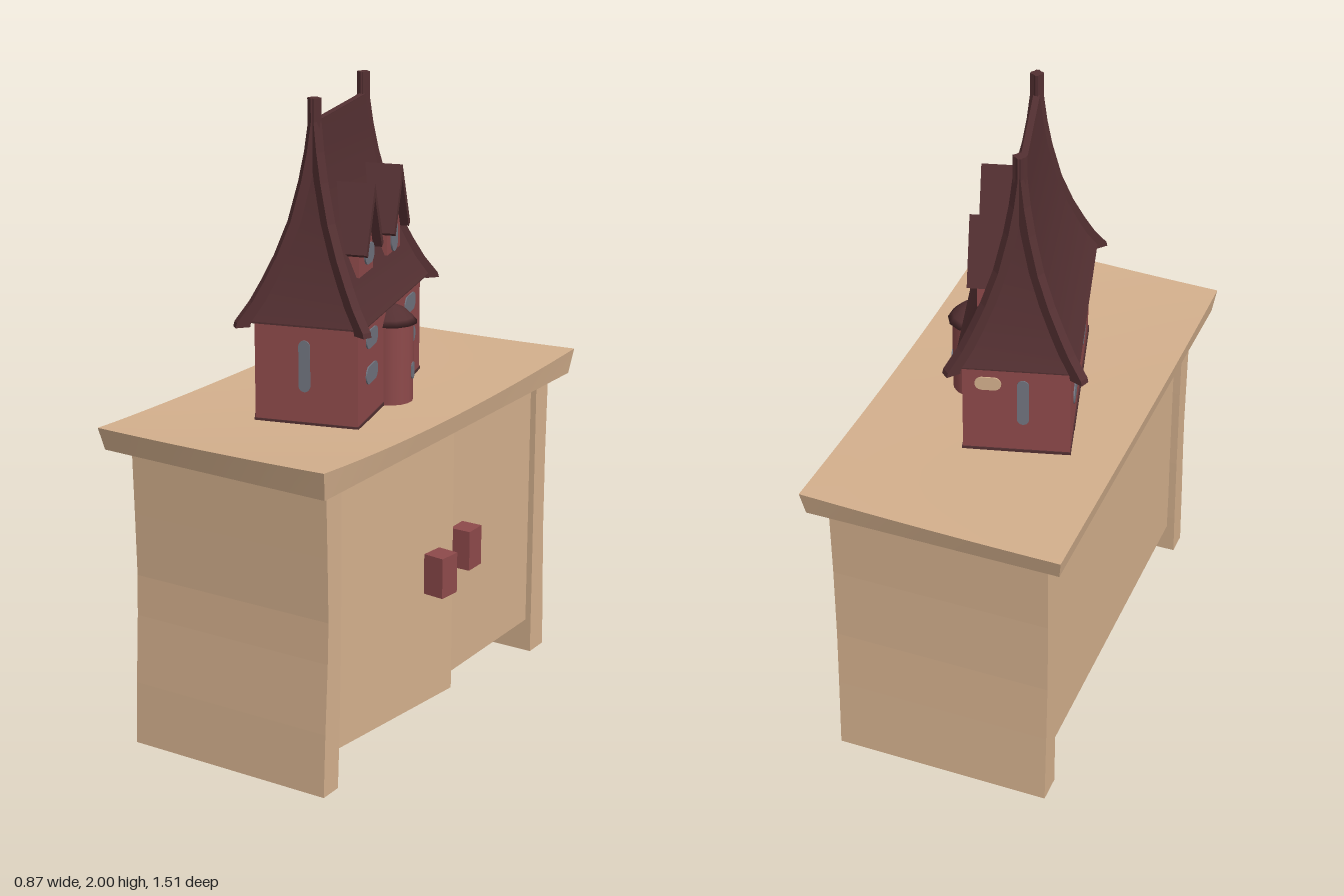
import * as THREE from 'three';

const mat = (name, color, side = THREE.FrontSide) => {
  const m = new THREE.MeshStandardMaterial({ color, side });
  m.name = name;
  return m;
};

export function createModel() {
  const wood = mat('tan wood', 0xd4b08d);
  const shade = mat('dark brown wood', 0x9a7058);
  const red = mat('brick red', 0x8e4a4b);
  const dark = mat('dark roof', 0x543032, THREE.DoubleSide);
  const glass = mat('grey glass', 0x71747f);
  const darkBelow = [wood, wood, wood, shade, wood, wood];

  const model = new THREE.Group();
  model.name = 'cabinetWithHouse';
  const add = (parent, name, geo, material, x = 0, y = 0, z = 0) => {
    const mesh = new THREE.Mesh(geo, material);
    mesh.name = name;
    mesh.position.set(x, y, z);
    parent.add(mesh);
    return mesh;
  };
  const box = (w, h, d) => new THREE.BoxGeometry(w, h, d);
  // Outline given as [z, y] points, extruded along x
  const extrudeX = (pts, x0, x1) => {
    const shape = new THREE.Shape(pts.map(p => new THREE.Vector2(...p)));
    const g = new THREE.ExtrudeGeometry(shape, { depth: x1 - x0, bevelEnabled: false });
    return g.rotateY(-Math.PI / 2).translate(x1, 0, 0);
  };

  // ---- Cabinet ----
  const cabinet = new THREE.Group();
  cabinet.name = 'cabinet';
  model.add(cabinet);

  // Worktop: edges flare outward and the ends curl up
  const topGeo = new THREE.BoxGeometry(0.82, 1, 1.505, 8, 1, 16);
  const p = topGeo.attributes.position;
  for (let i = 0; i < p.count; i++) {
    const x = p.getX(i), z = p.getZ(i), upper = p.getY(i) > 0;
    const e = (z / 0.75) ** 2;
    const k = upper ? 1 : 0.975;
    const y = upper ? 1.02 + e * (0.017 + 0.02 * x + 0.005 * z) + 0.004 * (x / 0.4) ** 2 : 0.965;
    p.setXYZ(i, x * k - 0.024, y, z * k - 0.003 + (z > 0.7 ? 0.025 * x - 0.008 : 0));
  }
  topGeo.computeVertexNormals();
  add(cabinet, 'worktop', topGeo, darkBelow);

  // Bowed end panels
  add(cabinet, 'leftEndPanel', extrudeX([
    [0.595, 0], [0.672, 0], [0.662, 0.2], [0.648, 0.42], [0.643, 0.55], [0.647, 0.75], [0.653, 0.975],
    [0.573, 0.975], [0.573, 0.7], [0.578, 0.4], [0.587, 0.15]], -0.37, 0.328), wood);
  add(cabinet, 'rightEndPanel', extrudeX([
    [-0.605, 0], [-0.605, 0.975], [-0.685, 0.975], [-0.678, 0.7], [-0.678, 0.45], [-0.684, 0.25],
    [-0.693, 0]], -0.37, 0.328), wood);
  add(cabinet, 'carcass', box(0.61, 0.86, 1.19), darkBelow, -0.04, 0.542, -0.012);

  // Doors, one slightly ajar on its hinge
  const makeDoor = (name, hingeZ, dir, width, handleZ, angle) => {
    const door = new THREE.Group();
    door.name = name;
    door.position.set(0.268, 0, hingeZ);
    door.rotation.y = angle;
    add(door, 'doorPanel', box(0.04, 0.855, width), wood, 0.02, 0.5395, dir * width / 2);
    add(door, 'doorHandle', box(0.07, 0.13, 0.075), red, 0.077, 0.545, dir * handleZ);
    cabinet.add(door);
    return door;
  };
  const ajar = makeDoor('leftDoor', 0.577, -1, 0.58, 0.469, -0.11);
  makeDoor('rightDoor', -0.605, 1, 0.597, 0.482, 0);
  // Bare wood spot on the inner side of the open door's handle
  const spot = new THREE.CylinderGeometry(0.5, 0.5, 0.004, 14).rotateX(Math.PI / 2).scale(0.045, 0.09, 1);
  add(ajar, 'handleSpot', spot, wood, 0.083, 0.55, -0.508);

  // ---- House ----
  const house = new THREE.Group();
  house.name = 'house';
  house.position.set(-0.036, 0, 0.0175);
  house.rotation.y = 0.265;
  model.add(house);
  add(house, 'walls', box(0.324, 0.33, 0.666), red, 0, 1.18, 0);
  add(house, 'plinth', box(0.33, 0.02, 0.672), dark, 0, 1.022, 0);
  add(house, 'backPlinth', box(0.006, 0.03, 0.54), dark, -0.163, 1.028, 0.06);

  // Thin window plate with rounded ends; facing is the yaw of its outward side
  const pane = (name, w, h, x, y, z, facing, material = glass) => {
    const r = Math.min(w, h) / 2, a = w / 2 - r, b = h / 2 - r, s = new THREE.Shape();
    s.absarc(a, b, r, 0, Math.PI / 2);
    s.absarc(-a, b, r, Math.PI / 2, Math.PI);
    s.absarc(-a, -b, r, Math.PI, Math.PI * 1.5);
    s.absarc(a, -b, r, Math.PI * 1.5, Math.PI * 2);
    const g = new THREE.ExtrudeGeometry(s, { depth: 0.008, bevelEnabled: false, curveSegments: 4 });
    add(house, name, g.translate(0, 0, -0.004), material, x, y, z).rotation.y = facing;
  };
  const front = Math.PI / 2;
  for (const y of [1.164, 1.275]) {
    for (const z of [0.197, -0.215]) pane('frontWindow', 0.115, 0.056, 0.162, y, z, front);
    for (const z of [0.13, -0.18]) pane('backWindow', 0.11, 0.058, -0.162, y - 0.006, z, -front);
  }
  pane('endWindow', 0.036, 0.16, -0.005, 1.207, 0.333, 0);
  pane('endWindow', 0.036, 0.16, -0.02, 1.207, -0.333, Math.PI);
  pane('woodVent', 0.08, 0.045, 0.085, 1.27, -0.333, Math.PI, wood);

  // Round stair tower with a shallow domed cap
  add(house, 'tower', new THREE.CylinderGeometry(0.07, 0.07, 0.26, 16), red, 0.165, 1.15, 0);
  const cap = [[0, 1.27], [0.083, 1.272], [0.068, 1.29], [0.042, 1.315], [0.015, 1.327], [0, 1.328]];
  add(house, 'towerRoof', new THREE.LatheGeometry(cap.map(c => new THREE.Vector2(...c)), 12), dark, 0.165, 0, 0);
  pane('towerWindow', 0.025, 0.055, 0.233, 1.12, -0.003, front);

  // Roof sweep: [height fraction, spread fraction]
  const sweep = [[0, 1], [0.1, 0.8], [0.2, 0.645], [0.33, 0.465], [0.5, 0.28], [0.7, 0.135], [0.85, 0.055], [1, 0]];
  const y0 = 1.34, rise = 0.59;
  const corners = [[-1, 1], [1, 1], [1, -1], [-1, -1]];
  corners.forEach((a, c) => {
    const b = corners[(c + 1) % 4], pos = [], idx = [];
    sweep.forEach(([u, f], i) => {
      for (const [sx, sz] of [a, b]) pos.push(sx * (0.01 + 0.175 * f), y0 + rise * u, sz * (0.243 + 0.117 * f));
      const n = 2 * i;
      if (i < sweep.length - 1) idx.push(n, n + 1, n + 2, n + 1, n + 3, n + 2);
    });
    const g = new THREE.BufferGeometry();
    g.setAttribute('position', new THREE.Float32BufferAttribute(pos, 3));
    g.setIndex(idx);
    g.computeVertexNormals();
    add(house, 'roofSlope', g, dark);
  });
  add(house, 'roofSoffit', box(0.365, 0.008, 0.715), dark, 0, 1.338, 0);
  add(house, 'ridgeCap', box(0.02, 0.01, 0.486), dark, 0, 1.927, 0);

  // Hip ribs rising into finials
  for (const [sx, sz] of corners) {
    const shape = new THREE.Shape();
    shape.moveTo(0.205, 1.325);
    shape.lineTo(0.25, 1.325);
    for (const [u, f] of sweep) shape.lineTo(f * 0.217 + 0.015 + 0.014 * f, y0 + rise * u);
    shape.lineTo(0.015, 2);
    shape.lineTo(-0.014, 2);
    for (const [u, f] of [...sweep].reverse()) shape.lineTo(f * 0.217 - 0.014, y0 + rise * u);
    const g = new THREE.ExtrudeGeometry(shape, { depth: 0.03, bevelEnabled: false });
    g.translate(0, 0, -0.015).rotateY(Math.atan2(-sz * 0.125, sx * 0.185));
    add(house, 'hipRib', g, dark, 0, 0, sz * 0.243);
  }

  // Dormers on the front slope
  for (const z of [0.148, -0.142]) {
    add(house, 'dormerWall', extrudeX([
      [-0.07, 1.46], [0.07, 1.46], [0.07, 1.55], [0, 1.7], [-0.07, 1.55]], 0.03, 0.13), red, 0, 0, z);
    add(house, 'dormerRoof', extrudeX([
      [0, 1.735], [-0.088, 1.535], [-0.072, 1.525], [0, 1.69], [0.072, 1.525], [0.088, 1.535]],
      0.02, 0.158), dark, 0, 0, z);
  }
  pane('dormerWindow', 0.092, 0.062, 0.131, 1.515, 0.123, front);
  pane('dormerWindow', 0.066, 0.09, 0.131, 1.505, -0.142, front);
  return model;
}
